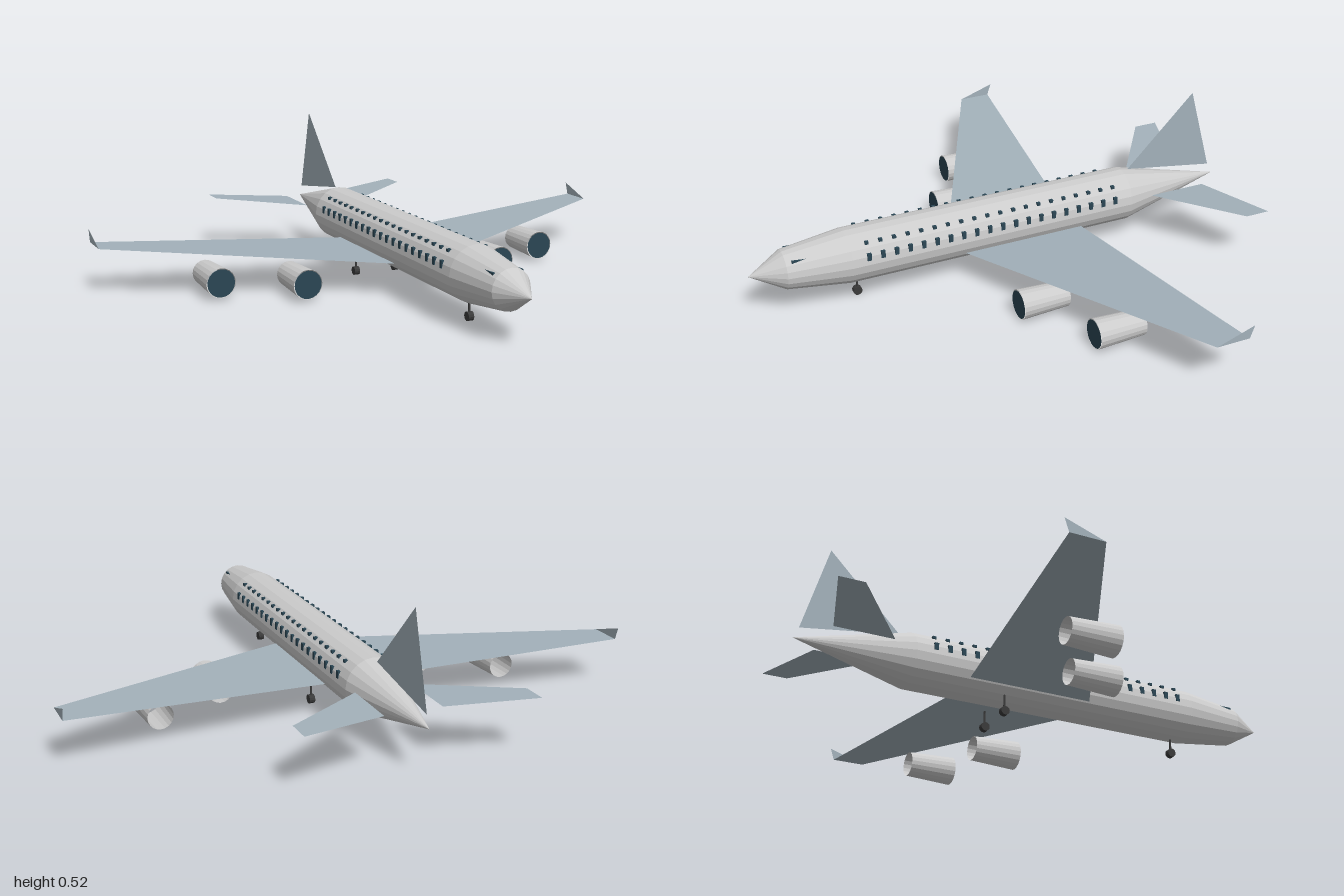
import * as THREE from 'three';

const AXIS_Y = 0.167; // height of the fuselage axis
const RADIUS = 0.098;

const hull = new THREE.MeshStandardMaterial({ color: 0xcccccc, flatShading: true, side: THREE.DoubleSide });
const panel = new THREE.MeshStandardMaterial({ color: 0xa3b1ba, flatShading: true, side: THREE.DoubleSide });
const glass = new THREE.MeshStandardMaterial({ color: 0x2a4654, flatShading: true });
const rubber = new THREE.MeshStandardMaterial({ color: 0x3a3a3a, flatShading: true });

function add(parent, name, geometry, material, x = 0, y = 0, z = 0) {
  const mesh = new THREE.Mesh(geometry, material);
  mesh.name = name;
  mesh.position.set(x, y, z);
  parent.add(mesh);
  return mesh;
}

// Thin flat panel: a triangle fan over [x, y, z] corners, mirrored in x by side
function sheet(corners, side = 1) {
  const geometry = new THREE.BufferGeometry();
  const points = corners.map(([x, y, z]) => [x * side, y, z]);
  const index = [];
  for (let i = 1; i < points.length - 1; i++) {
    index.push(0, side > 0 ? i : i + 1, side > 0 ? i + 1 : i);
  }
  geometry.setAttribute('position', new THREE.Float32BufferAttribute(points.flat(), 3));
  geometry.setIndex(index);
  geometry.computeVertexNormals();
  return geometry;
}

// Open, slightly tapered nacelle with a dark intake disc
function engine(x, frontZ) {
  const group = new THREE.Group();
  group.name = 'engine';
  const length = 0.175;
  const shell = new THREE.CylinderGeometry(0.053, 0.045, length, 20, 1, true).rotateX(Math.PI / 2);
  add(group, 'nacelle', shell, hull, 0, 0, -length / 2);
  add(group, 'intake', new THREE.CircleGeometry(0.05, 20), glass, 0, 0, 0.001);
  group.position.set(x, 0.059, frontZ);
  return group;
}

// Strut with a single wheel
function landingGear(name, x, z) {
  const group = new THREE.Group();
  group.name = name;
  add(group, 'strut', new THREE.CylinderGeometry(0.004, 0.004, 0.06, 8), rubber, 0, 0.045, 0);
  add(group, 'wheel', new THREE.CylinderGeometry(0.016, 0.016, 0.02, 12).rotateZ(Math.PI / 2), rubber, 0, 0.016, 0);
  group.position.set(x, 0, z);
  return group;
}

export function createModel() {
  const plane = new THREE.Group();
  plane.name = 'airliner';

  // Fuselage turned about its long axis, tail to nose
  const profile = [[0, -0.91], [RADIUS, -0.51], [RADIUS, 0.57], [0.07, 0.79], [0, 0.91]]
    .map(([r, z]) => new THREE.Vector2(r, z));
  add(plane, 'fuselage', new THREE.LatheGeometry(profile, 20).rotateX(Math.PI / 2), hull, 0, AXIS_Y, 0);

  // Cockpit block whose upper edges just break the skin
  add(plane, 'cockpitGlass', new THREE.BoxGeometry(0.11, 0.03, 0.07), glass, 0, 0.207, 0.735);

  // Upright tail fin
  add(plane, 'tailFin', sheet([[0, 0.26, -0.54], [0, 0.52, -0.8], [0, 0.207, -0.89]]), panel);

  const upperWindow = new THREE.BoxGeometry(0.012, 0.01, 0.013);
  const lowerWindow = new THREE.BoxGeometry(0.012, 0.026, 0.015);

  for (const side of [1, -1]) {
    // Swept wing with dihedral and an upturned tip
    add(plane, 'wing', sheet([
      [0.08, 0.115, 0.15], [1, 0.168, -0.3], [1, 0.168, -0.42], [0.08, 0.115, -0.308],
    ], side), panel);
    add(plane, 'winglet', sheet([
      [1, 0.168, -0.3], [1, 0.213, -0.435], [1, 0.168, -0.42],
    ], side), panel);

    // Tailplane
    add(plane, 'tailplane', sheet([
      [0.1, 0.187, -0.59], [0.4, 0.203, -0.805], [0.4, 0.203, -0.895], [0.1, 0.187, -0.805],
    ], side), panel);

    // Two rows of cabin windows
    for (let i = 0; i < 20; i++) {
      const z = 0.51 - i * 0.05;
      add(plane, 'upperWindow', upperWindow, glass, side * 0.067, 0.239, z);
      add(plane, 'lowerWindow', lowerWindow, glass, side * 0.091, 0.196, z);
    }

    // Inner and outer engines, main wheels
    plane.add(engine(side * 0.38, 0.083), engine(side * 0.64, -0.067));
    plane.add(landingGear('mainGear', side * 0.08, -0.18));
  }

  plane.add(landingGear('noseGear', 0, 0.53));
  return plane;
}
